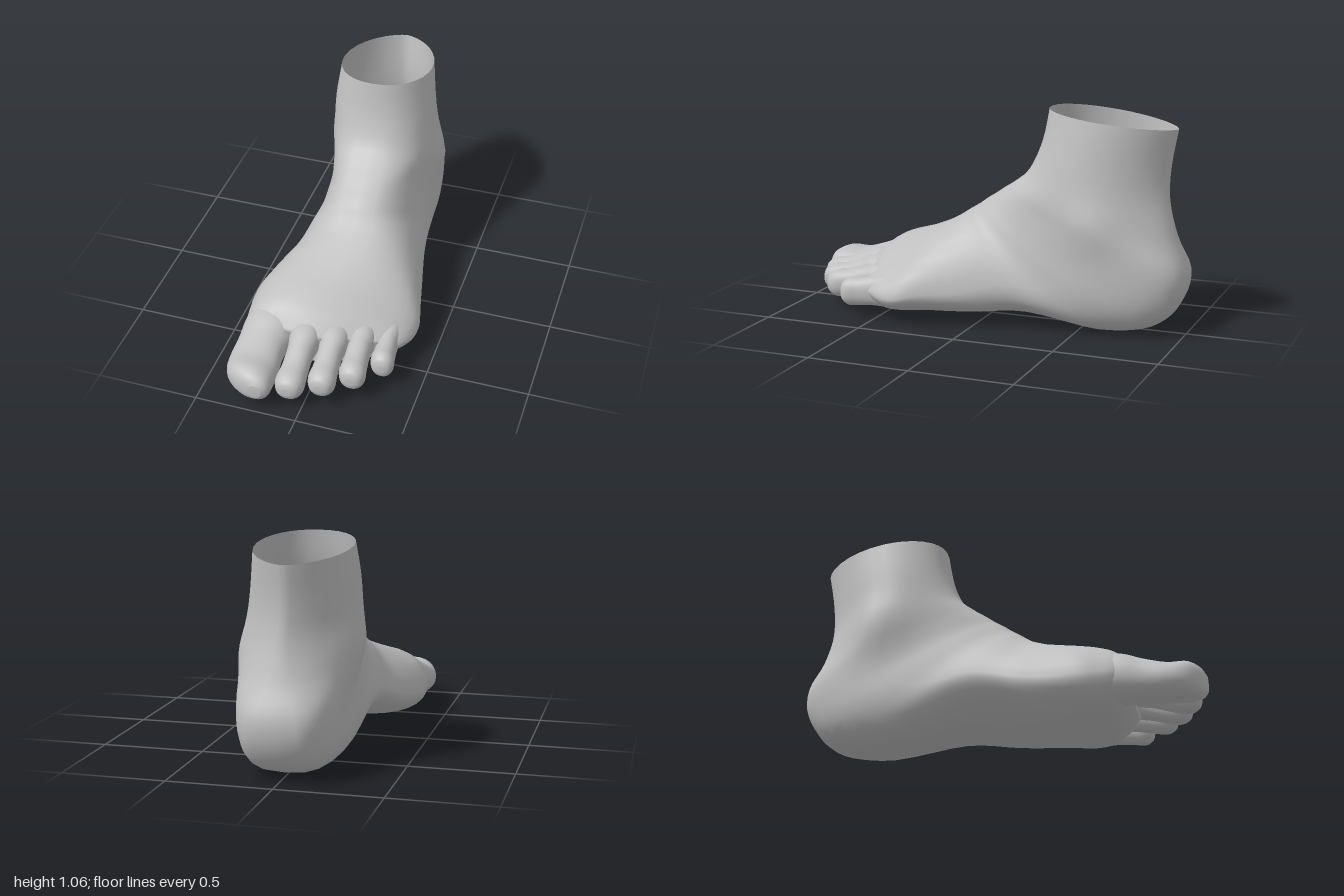
import * as THREE from 'three';

const SEG = 32;

// Smoothly resample a table of key rows into n + 1 rows
function resample(rows, n) {
  const out = [];
  for (let i = 0; i <= n; i++) {
    const f = (i / n) * (rows.length - 1);
    const k = Math.min(Math.floor(f), rows.length - 2), t = f - k;
    const at = (j) => rows[Math.max(0, Math.min(rows.length - 1, j))];
    out.push(rows[0].map((_, c) => {
      const a = at(k - 1)[c], b = at(k)[c], d = at(k + 1)[c], e = at(k + 2)[c];
      return b + 0.5 * t * (d - a + t * (2 * a - 5 * b + 4 * d - e + t * (3 * (b - d) + e - a)));
    }));
  }
  return out;
}

// Skin closed rings of points and close the last ring with a centre point
function loft(rings) {
  const pos = [], index = [], last = rings.length - 1;
  rings.forEach((r) => r.forEach((p) => pos.push(p.x, p.y, p.z)));
  const c = new THREE.Vector3();
  rings[last].forEach((p) => c.addScaledVector(p, 1 / SEG));
  pos.push(c.x, c.y, c.z);
  for (let i = 0; i <= last; i++) {
    for (let j = 0; j < SEG; j++) {
      const a = i * SEG + j, b = i * SEG + (j + 1) % SEG;
      if (i === last) index.push(a, rings.length * SEG, b);
      else index.push(a, a + SEG, b, b, a + SEG, b + SEG);
    }
  }
  const g = new THREE.BufferGeometry();
  g.setAttribute('position', new THREE.Float32BufferAttribute(pos, 3));
  g.setIndex(index);
  g.computeVertexNormals();
  return g;
}

const bump = (p, x, y, z, r) =>
  Math.exp(-((p.x - x) ** 2 + (p.y - y) ** 2 + (p.z - z) ** 2) / (r * r));

// Ankle, heel and sole: sections swing from level at the shin to upright at the toes
function footGeometry() {
  // front z, y, back z, y, min x, max x, widest place, front and back roundness
  const rows = [
    [-0.30, 1.06, -0.93, 0.98, -0.26, 0.195, 0.43, 0.9, 1.3],
    [-0.27, 0.90, -0.90, 0.80, -0.28, 0.22, 0.43, 0.85, 1.4],
    [-0.21, 0.76, -0.90, 0.64, -0.275, 0.24, 0.45, 0.8, 1.35],
    [-0.13, 0.69, -0.94, 0.46, -0.265, 0.25, 0.48, 0.74, 0.95],
    [-0.07, 0.65, -1.00, 0.30, -0.26, 0.25, 0.52, 0.7, 0.6],
    [-0.02, 0.615, -0.97, 0.15, -0.26, 0.255, 0.56, 0.7, 0.58],
    [0.02, 0.59, -0.86, 0.04, -0.265, 0.26, 0.58, 0.7, 0.65],
    [0.06, 0.56, -0.62, 0.00, -0.265, 0.265, 0.60, 0.7, 0.68],
    [0.10, 0.535, -0.27, 0.06, -0.275, 0.30, 0.65, 0.74, 0.62],
    [0.17, 0.49, 0.00, 0.045, -0.305, 0.345, 0.70, 0.82, 0.6],
    [0.27, 0.44, 0.22, 0.03, -0.37, 0.385, 0.70, 0.9, 0.6],
    [0.40, 0.38, 0.42, 0.005, -0.41, 0.41, 0.66, 0.88, 0.66],
    [0.52, 0.33, 0.54, 0.005, -0.40, 0.405, 0.62, 0.8, 0.7],
    [0.60, 0.285, 0.61, 0.03, -0.385, 0.385, 0.58, 0.72, 0.7],
    [0.67, 0.215, 0.66, 0.07, -0.35, 0.345, 0.50, 0.7, 0.75],
  ];
  return loft(resample(rows, 56).map(([pz, py, qz, qy, x0, x1, m, e0, e1]) => {
    const ring = [];
    for (let j = 0; j < SEG; j++) {
      const a = (j / SEG) * Math.PI * 2, c = Math.cos(a), s = Math.sin(a);
      const t = c > 0 ? m * (1 - c) : m - (1 - m) * c;
      const w = Math.sign(s) * Math.abs(s) ** (c > 0 ? e0 : e1);
      const p = new THREE.Vector3((x0 + x1) / 2 + w * (x1 - x0) / 2,
        py + (qy - py) * t, pz + (qz - pz) * t);
      // Toe line slants back and drops toward the small toe
      const f = THREE.MathUtils.smoothstep(p.z, 0.15, 0.65);
      p.y -= f * (p.y - qy) * 0.25 * p.x / 0.4;
      p.z -= f * 0.15 * Math.max(0, p.x) / 0.4;
      // Ankle bones, the raised inner arch and the lifted outer edge of the sole
      p.x -= 0.05 * bump(p, -0.28, 0.58, -0.58, 0.15);
      p.x += 0.03 * bump(p, 0.25, 0.52, -0.58, 0.13);
      p.y += 0.08 * bump(p, -0.25, 0.06, -0.05, 0.24);
      p.y += 0.03 * bump(p, 0.38, 0.03, 0.4, 0.2);
      ring.push(p);
    }
    return ring;
  }));
}

// Toe from rows of x, y, z, half width, half height
function toeGeometry(rows) {
  return loft(resample(rows, 28).map(([x, y, z, rx, ry]) =>
    Array.from({ length: SEG }, (_, j) => {
      const a = (j / SEG) * Math.PI * 2, s = Math.sin(a), c = Math.cos(a);
      return new THREE.Vector3(x + rx * Math.sign(s) * Math.abs(s) ** 0.9,
        y + ry * Math.sign(c) * Math.abs(c) ** 0.9, z);
    })));
}

export function createModel() {
  const group = new THREE.Group();
  const skin = new THREE.MeshStandardMaterial({ color: 0xc0c0c0, side: THREE.DoubleSide });
  skin.name = 'grey skin';
  const add = (name, geometry) => {
    const mesh = new THREE.Mesh(geometry, skin);
    mesh.name = name;
    group.add(mesh);
  };

  add('footAndAnkle', footGeometry());

  add('bigToe', toeGeometry([
    [-0.24, 0.18, 0.42, 0.12, 0.11],
    [-0.255, 0.165, 0.60, 0.132, 0.118],
    [-0.268, 0.14, 0.72, 0.118, 0.10],
    [-0.265, 0.122, 0.83, 0.124, 0.086],
    [-0.25, 0.125, 0.92, 0.115, 0.088],
    [-0.22, 0.125, 0.975, 0.08, 0.068],
    [-0.2, 0.125, 1.0, 0.03, 0.035],
  ]));

  // Small toes: base x, tip x, base z, tip z, half width, base y, tip y
  [
    ['secondToe', -0.075, -0.06, 0.46, 0.955, 0.071, 0.195, 0.12],
    ['thirdToe', 0.055, 0.08, 0.43, 0.895, 0.067, 0.185, 0.125],
    ['fourthToe', 0.17, 0.205, 0.37, 0.81, 0.065, 0.17, 0.13],
    ['littleToe', 0.285, 0.315, 0.30, 0.68, 0.057, 0.145, 0.125],
  ].forEach(([name, xa, xb, za, zb, w, ya, yb]) => {
    const row = (t, drop, rx, ry) => [xa + (xb - xa) * t, ya + (yb - ya) * drop,
      za + (zb - za) * t, w * rx, ry];
    add(name, toeGeometry([
      row(0, 0, 1.1, 0.06),
      row(0.35, 0.1, 1.1, 0.08),
      row(0.54, 0.4, 0.9, 0.074),
      row(0.74, 0.85, 0.92, 0.07),
      row(0.88, 1, 1, 0.07),
      row(0.97, 1, 0.74, 0.05),
      row(1, 1, 0.3, 0.02),
    ]));
  });

  return group;
}
